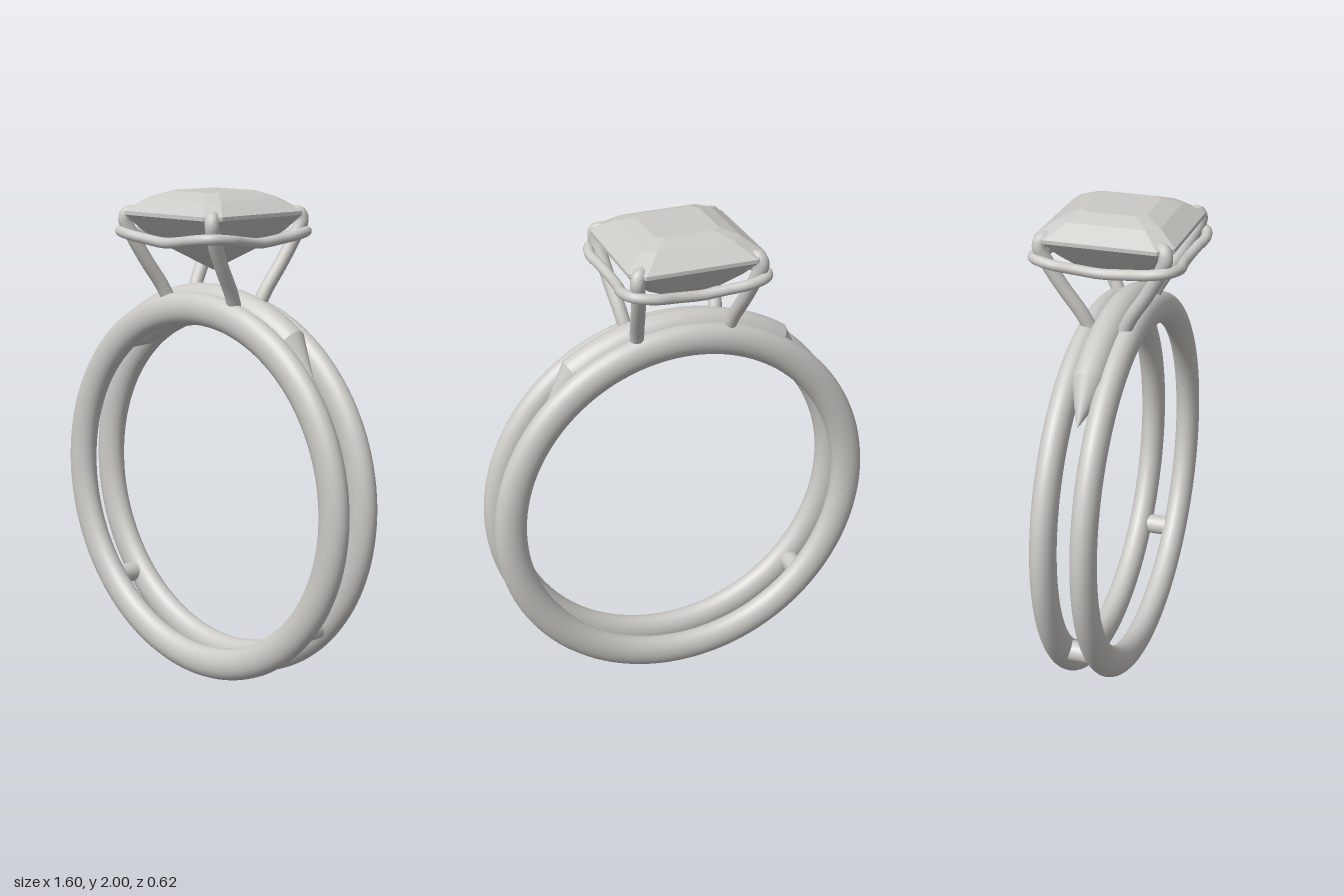
import * as THREE from 'three';

const metal = new THREE.MeshStandardMaterial({ color: 0xcccac6 });
metal.name = 'pale grey';

const RING_Y = 0.8; // height of the band centre
const V = (x, y, z) => new THREE.Vector3(x, y, z);

// Skin a list of closed cross-sections, each with the same number of points
function loft(sections) {
  const n = sections[0].length;
  const index = [];
  for (let i = 0; i < sections.length - 1; i++) {
    for (let j = 0; j < n; j++) {
      const k = (j + 1) % n;
      const a = i * n + j, b = i * n + k, c = b + n, d = a + n;
      index.push(a, b, c, a, c, d);
    }
  }
  const g = new THREE.BufferGeometry().setFromPoints(sections.flat());
  g.setIndex(index);
  g.computeVertexNormals();
  return g;
}

function add(parent, name, geometry) {
  const mesh = new THREE.Mesh(geometry, metal);
  mesh.name = name;
  parent.add(mesh);
  return mesh;
}

// Square with cut corners, half side s and cut c
function cutSquare(s, c, y) {
  const points = [];
  for (let k = 0; k < 4; k++) {
    for (const e of [s - c, c - s]) {
      let x = s, z = e;
      for (let r = 0; r < k; r++) [x, z] = [z, -x];
      points.push(V(x, y, z));
    }
  }
  return points;
}

// Oval cross-section of the bridge at angle a from the top of the ring
function bridgeSection(a, scale) {
  const points = [];
  for (let j = 0; j < 32; j++) {
    const u = (j / 32) * Math.PI * 2;
    const r = 0.745 + 0.085 * scale * Math.cos(u);
    points.push(V(r * Math.sin(a), RING_Y + r * Math.cos(a), 0.068 * scale * Math.sin(u)));
  }
  return points;
}

export function createModel() {
  const ring = new THREE.Group();
  ring.name = 'ring';

  // Twin bands, slightly flattened across their width
  for (const side of [-1, 1]) {
    const g = new THREE.TorusGeometry(0.735, 0.065, 28, 128);
    g.scale(1, 1, 0.05 / 0.065);
    add(ring, side > 0 ? 'frontBand' : 'backBand', g).position.set(0, RING_Y, side * 0.08);
  }

  // Raised bridge between the bands, with a pointed tip at each end
  const shoulder = 0.595, tip = 0.835;
  const body = [];
  for (let i = 0; i <= 32; i++) body.push(bridgeSection(shoulder * (i / 16 - 1), 1));
  add(ring, 'bridge', loft(body));
  add(ring, 'leftBridgeTip', loft([bridgeSection(shoulder, 1), bridgeSection(tip, 0)]));
  add(ring, 'rightBridgeTip', loft([bridgeSection(-tip, 0), bridgeSection(-shoulder, 1)]));

  // Small spacer bars low down between the bands
  for (const side of [-1, 1]) {
    const g = new THREE.CylinderGeometry(0.042, 0.042, 0.14, 24);
    g.rotateX(Math.PI / 2);
    add(ring, 'spacerBar', g).position.set(side * 0.545, 0.305, 0);
  }

  // Four claws that lean outward and hook over the stone
  for (const sx of [-1, 1]) {
    for (const sz of [-1, 1]) {
      const prong = new THREE.Group();
      prong.name = 'prong';
      const path = [
        [0.19, 1.56, 0.07], [0.2, 1.62, 0.1], [0.218, 1.72, 0.165], [0.235, 1.82, 0.222],
        [0.248, 1.885, 0.248], [0.241, 1.912, 0.241], [0.217, 1.914, 0.217],
      ].map(([x, y, z]) => V(x * sx, y, z * sz));
      add(prong, 'claw', new THREE.TubeGeometry(new THREE.CatmullRomCurve3(path), 48, 0.028, 14));
      add(prong, 'clawTip', new THREE.SphereGeometry(0.028, 16, 12)).position.copy(path[6]);
      ring.add(prong);
    }
  }

  // Wavy gallery wire that runs round the claws
  const side = [[0.265, 1.81, 0], [0.274, 1.82, -0.1], [0.287, 1.833, -0.19], [0.262, 1.84, -0.262], [0.19, 1.833, -0.287], [0.1, 1.82, -0.274]];
  const wire = [];
  for (let k = 0; k < 4; k++) {
    for (const p of side) {
      let [x, y, z] = p;
      for (let r = 0; r < k; r++) [x, z] = [z, -x];
      wire.push(V(x, y, z));
    }
  }
  add(ring, 'galleryWire', new THREE.TubeGeometry(new THREE.CatmullRomCurve3(wire, true), 192, 0.021, 14, true));

  // Step-cut stone, from the lower point up to the flat table
  const steps = [
    [0, 0, 1.685], [0.16, 0.035, 1.79], [0.225, 0.045, 1.85], [0.275, 0.055, 1.907],
    [0.275, 0.055, 1.922], [0.2, 0.045, 1.974], [0.13, 0.03, 2], [0, 0, 2],
  ].map(([s, c, y]) => cutSquare(s, c, y));
  const facets = loft(steps).toNonIndexed();
  facets.computeVertexNormals();
  add(ring, 'stone', facets);

  return ring;
}
